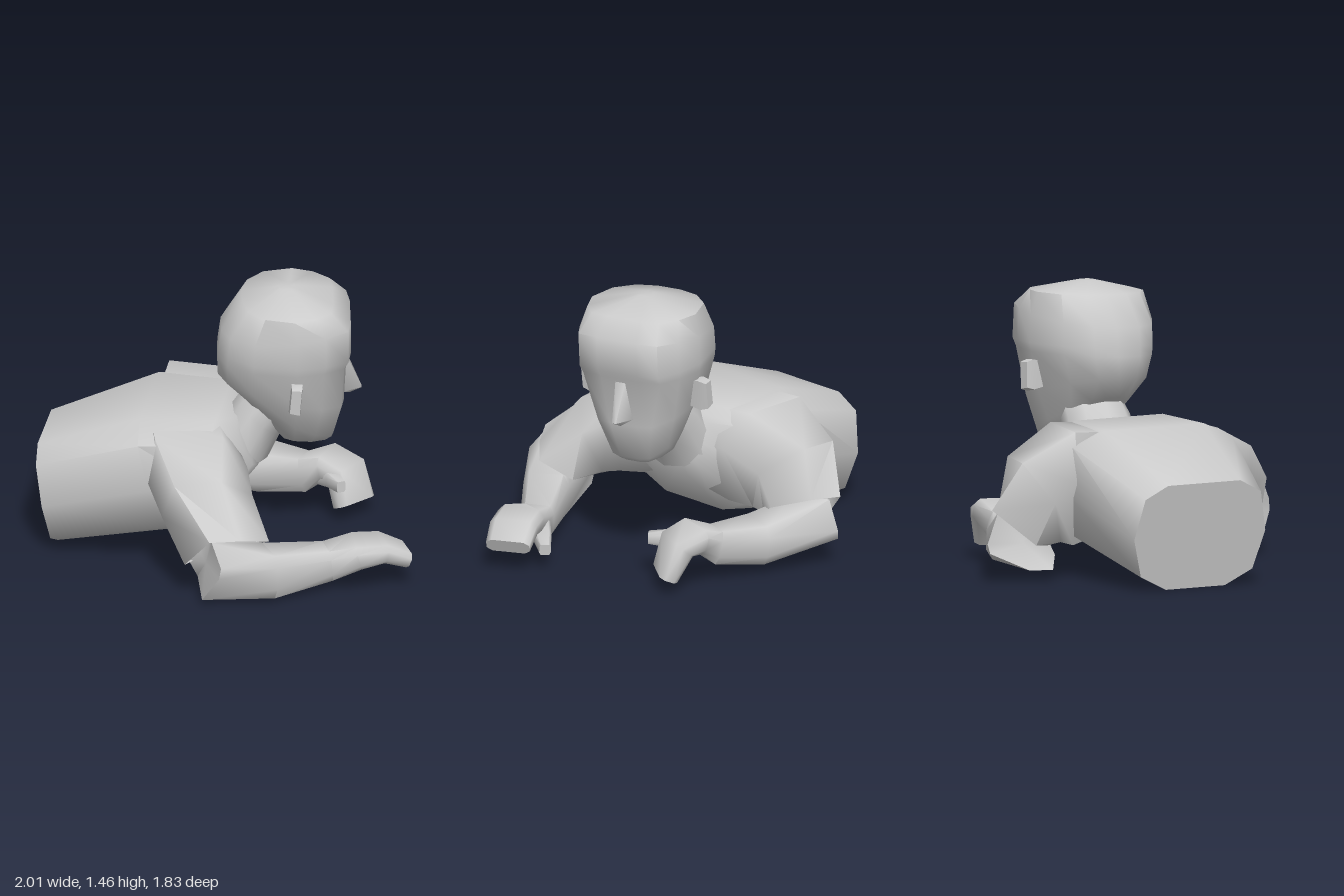
import * as THREE from 'three';
import { toCreasedNormals } from 'three/addons/utils/BufferGeometryUtils.js';
import { ConvexGeometry } from 'three/addons/geometries/ConvexGeometry.js';

const V = (x, y, z) => new THREE.Vector3(x, y, z);
const material = new THREE.MeshStandardMaterial({ color: 0xcccccc });
const thin = new THREE.MeshStandardMaterial({ color: 0xcccccc, side: THREE.DoubleSide });

function part(name, geometry, mat = material) {
  const mesh = new THREE.Mesh(geometry, mat);
  mesh.name = name;
  return mesh;
}

// Skin between rings of equal length; ends are closed with fans when capped.
function loft(rings, capped = true, crease = 1.1) {
  const n = rings[0].length;
  const points = rings.flat();
  const tris = [];
  for (let i = 0; i < rings.length - 1; i++) {
    for (let j = 0; j < n; j++) {
      const a = i * n + j, b = i * n + (j + 1) % n;
      tris.push([a, b, b + n], [a, b + n, a + n]);
    }
  }
  if (capped) {
    [0, rings.length - 1].forEach((r) => {
      const c = V(0, 0, 0);
      rings[r].forEach((p) => c.addScaledVector(p, 1 / n));
      const k = points.push(c) - 1;
      for (let j = 0; j < n; j++) {
        const a = r * n + j, b = r * n + (j + 1) % n;
        tris.push(r ? [a, b, k] : [b, a, k]);
      }
    });
  }
  // Turn the faces outward
  const mid = V(0, 0, 0);
  points.forEach((p) => mid.addScaledVector(p, 1 / points.length));
  let volume = 0;
  for (const [a, b, c] of tris) {
    const [p, q, r] = [a, b, c].map((i) => points[i].clone().sub(mid));
    volume += p.dot(q.cross(r));
  }
  if (volume < 0) tris.forEach((t) => t.reverse());
  const g = new THREE.BufferGeometry().setFromPoints(points);
  g.setIndex(tris.flat());
  return toCreasedNormals(g, crease);
}

// Limb rings from sections [x, y, z, halfWidth, halfHeight], chamfered-box cross-section
function limbRings(sections) {
  const outline = [[1, 0.5], [0.75, 1], [-0.75, 1], [-1, 0.5], [-1, -0.5], [-0.75, -1], [0.75, -1], [1, -0.5]];
  const centres = sections.map(([x, y, z]) => V(x, y, z));
  const last = centres.length - 1;
  return sections.map(([, , , w, h], i) => {
    const dir = centres[Math.min(i + 1, last)].clone().sub(centres[Math.max(i - 1, 0)]).normalize();
    const side = V(-dir.z, 0, dir.x).normalize();
    const up = side.clone().cross(dir);
    return outline.map(([a, b]) => centres[i].clone().addScaledVector(side, a * w).addScaledVector(up, b * h));
  });
}

// Torso sections: top x, top y, bottom x, bottom y, half width, widening of the top
function torso() {
  const outline = [[0.55, 1], [0.88, 0.88], [1, 0.5], [0.85, 0.14], [0.45, 0],
    [-0.45, 0], [-0.85, 0.14], [-1, 0.5], [-0.88, 0.88], [-0.55, 1]];
  return loft([
    [-1, 0.56, -0.9, 0, 0.385, 1],
    [-0.45, 0.78, -0.3, 0.13, 0.475, 1.12],
    [-0.06, 0.78, -0.1, 0.18, 0.43, 1.1],
    [0.03, 0.75, 0.14, 0.48, 0.23, 1],
  ].map(([xt, yt, xb, yb, w, k]) => outline.map(([s, t]) =>
    V(xb + (xt - xb) * t, yb + (yt - yb) * t, -0.055 + s * w * (t > 0.8 ? k : 1)))));
}

// Head sections: front y, back y, front, back, half width, face half width
function skull() {
  return loft([
    [0.6, 0.64, 0.2, -0.04, 0.14, 0.08],
    [0.63, 0.87, 0.235, -0.24, 0.2, 0.11],
    [0.83, 0.99, 0.29, -0.36, 0.27, 0.16],
    [1.09, 1.1, 0.305, -0.36, 0.325, 0.23],
    [1.13, 1.15, 0.33, -0.355, 0.335, 0.235],
    [1.31, 1.25, 0.33, -0.34, 0.335, 0.235],
    [1.4, 1.41, 0.24, -0.23, 0.31, 0.2],
    [1.46, 1.46, 0.04, -0.04, 0.04, 0.03],
  ].map(([yf, yb, f, b, w, fw]) => {
    const half = [[f, fw * 0.5], [f * 0.95, fw], [f * 0.6, w * 0.88], [f * 0.15, w],
      [b * 0.5, w * 0.88], [b * 0.87, w * 0.58], [b, w * 0.22]];
    const ring = [...half, ...half.map(([u, s]) => [u, -s]).reverse()];
    return ring.map(([u, s]) => V(u, yf + (yb - yf) * (f - u) / (f - b), s));
  }));
}

// Head, turned and tipped slightly to one side
function head() {
  const g = new THREE.Group();
  g.name = 'head';
  g.position.set(0.27, 0, -0.125);
  g.rotation.set(0.05, 0.19, 0);
  g.add(part('skull', skull()));
  // Nose wedge
  const nose = new ConvexGeometry([V(0.3, 1.08, 0.03), V(0.3, 1.08, -0.03), V(0.385, 0.87, 0.012),
    V(0.385, 0.87, -0.012), V(0.28, 0.87, 0.065), V(0.28, 0.87, -0.065), V(0.32, 0.835, 0)]);
  g.add(part('nose', toCreasedNormals(nose, 1.1)));
  // Ears
  for (const s of [1, -1]) {
    const ear = part(s > 0 ? 'leftEar' : 'rightEar', loft([[0.25, 0.8], [0.33, 1], [0.375, 0.85]].map(([z, k]) =>
      [[-0.035, -0.07], [0.025, -0.085], [0.04, 0.08], [-0.02, 0.085]].map(([x, y]) => V(x * k, y * k, z * s)))));
    ear.position.set(0.035, 0.97, 0);
    g.add(ear);
  }
  return g;
}

// Sleeve rings run: back, top back, top front, front, bottom front, bottom back
const sleeves = {
  left: [
    [[-0.4, 0.5, 0.3], [-0.4, 0.765, 0.18], [-0.06, 0.765, 0.13], [0.04, 0.6, 0.1], [0, 0.33, 0.12], [-0.25, 0.2, 0.25]],
    [[-0.38, 0.5, 0.41], [-0.35, 0.735, 0.37], [0, 0.745, 0.32], [0.13, 0.58, 0.32], [0.07, 0.3, 0.3], [-0.25, 0.17, 0.36]],
    [[-0.27, 0.4, 0.61], [-0.2, 0.6, 0.65], [0.04, 0.62, 0.6], [0.18, 0.5, 0.47], [0.1, 0.28, 0.4], [-0.18, 0.2, 0.45]],
    [[-0.13, 0.2, 0.74], [0.02, 0.39, 0.86], [0.17, 0.37, 0.77], [0.3, 0.33, 0.66], [0.22, 0.24, 0.5], [-0.05, 0.18, 0.55]],
  ],
  right: [
    [[-0.42, 0.5, -0.4], [-0.42, 0.765, -0.25], [-0.06, 0.765, -0.22], [0.04, 0.6, -0.2], [0, 0.33, -0.22], [-0.3, 0.2, -0.35]],
    [[-0.47, 0.52, -0.52], [-0.42, 0.78, -0.5], [-0.07, 0.785, -0.46], [0.05, 0.6, -0.38], [0, 0.3, -0.38], [-0.3, 0.17, -0.45]],
    [[-0.46, 0.42, -0.64], [-0.36, 0.63, -0.78], [-0.16, 0.64, -0.76], [0, 0.5, -0.58], [-0.05, 0.28, -0.5], [-0.35, 0.2, -0.55]],
    [[-0.4, 0.2, -0.72], [-0.27, 0.38, -0.91], [-0.15, 0.37, -0.81], [-0.03, 0.32, -0.64], [-0.1, 0.24, -0.53], [-0.3, 0.18, -0.6]],
  ],
};

// Pointed elbow ends, listed in the same order as the limb cross-section
const elbows = {
  left: [[0.09, 0.27, 0.91], [0.03, 0.38, 0.84], [0, 0.36, 0.68], [-0.09, 0.27, 0.62],
    [-0.13, 0.19, 0.64], [-0.08, 0.09, 0.63], [-0.03, 0.03, 0.79], [0.08, 0.21, 0.91]],
  right: [[-0.15, 0.25, -0.55], [-0.2, 0.34, -0.65], [-0.24, 0.36, -0.86], [-0.24, 0.2, -0.92],
    [-0.25, 0.15, -0.91], [-0.33, 0.06, -0.72], [-0.36, 0.06, -0.6], [-0.25, 0.12, -0.53]],
};

// Forearms from elbow to fingertips
const arms = {
  left: [[0.29, 0.145, 0.62, 0.12, 0.12], [0.57, 0.14, 0.44, 0.09, 0.085],
    [0.72, 0.2, 0.42, 0.13, 0.065], [0.84, 0.205, 0.365, 0.125, 0.05], [0.95, 0.15, 0.31, 0.115, 0.04]],
  right: [[0.06, 0.165, -0.615, 0.135, 0.105], [0.3, 0.19, -0.53, 0.085, 0.09],
    [0.42, 0.265, -0.5, 0.135, 0.065], [0.51, 0.24, -0.47, 0.13, 0.06], [0.56, 0.08, -0.43, 0.12, 0.05]],
};
const thumbs = {
  left: [[0.6, 0.15, 0.39, 0.05, 0.045], [0.71, 0.13, 0.28, 0.045, 0.04], [0.795, 0.115, 0.19, 0.03, 0.03]],
  right: [[0.36, 0.21, -0.47, 0.04, 0.045], [0.46, 0.23, -0.37, 0.04, 0.04], [0.52, 0.23, -0.28, 0.025, 0.03]],
};

export function createModel() {
  const model = new THREE.Group();
  model.name = 'leaningFigure';
  model.add(part('torso', torso()));

  // Neck leaning forward into the head
  const neck = [[0.05, 0.58, 0.21], [0.14, 0.74, 0.19], [0.25, 0.86, 0.17]].map(([x, y, r]) =>
    Array.from({ length: 10 }, (_, i) => {
      const a = (i / 10) * Math.PI * 2;
      return V(x + r * 0.55 * Math.cos(a), y - r * 0.55 * Math.cos(a), -0.08 + r * Math.sin(a));
    }));
  model.add(part('neck', loft(neck)));
  model.add(head());

  const toPoints = (ring) => ring.map((p) => V(...p));
  for (const side of ['left', 'right']) {
    model.add(part(side + 'Sleeve', loft(sleeves[side].map(toPoints), false, 1.3), thin));
    model.add(part(side + 'Arm', loft([toPoints(elbows[side]), ...limbRings(arms[side])])));
    model.add(part(side + 'Thumb', loft(limbRings(thumbs[side]))));
  }
  return model;
}
